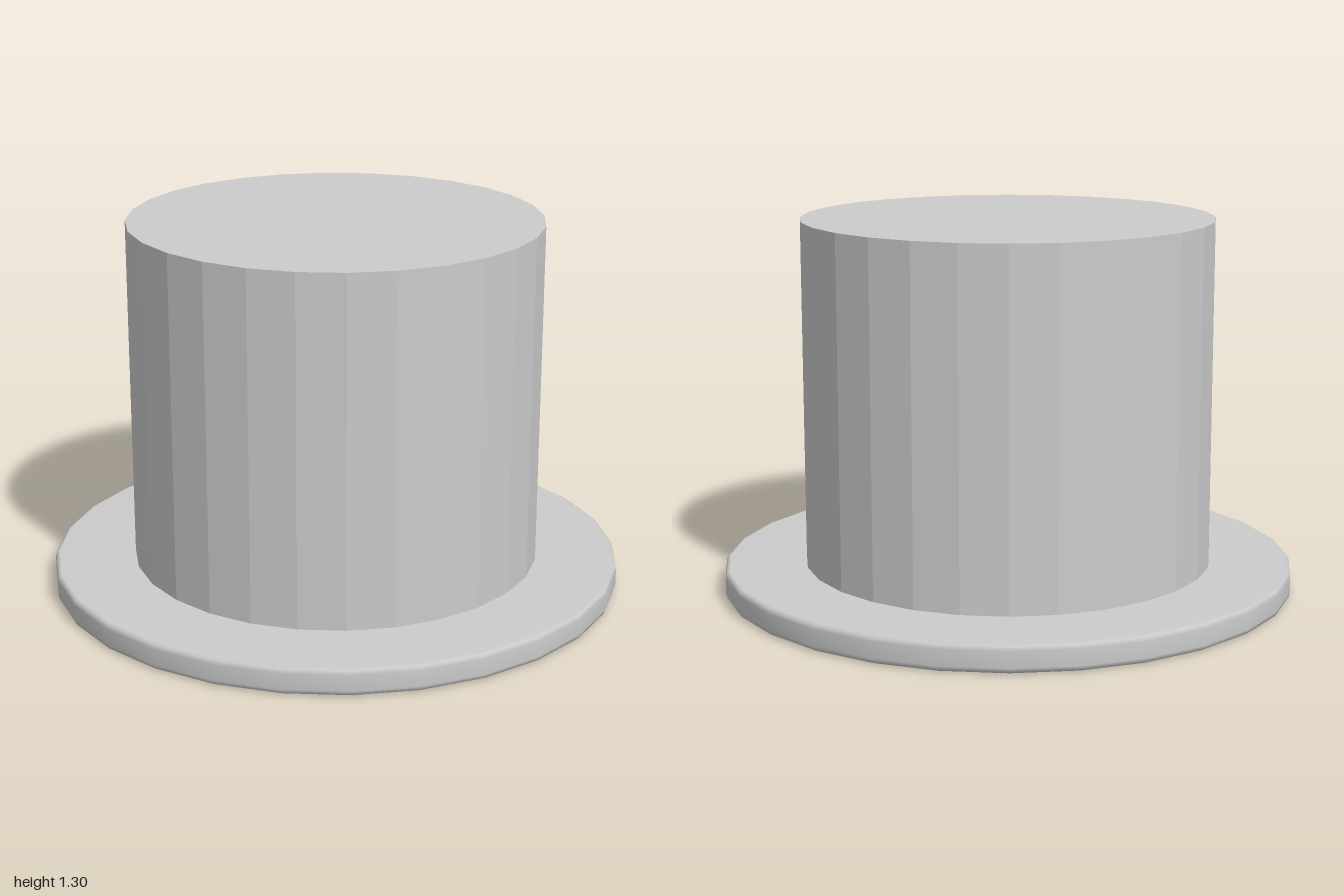
import * as THREE from 'three';

const SIDES = 28;

// Revolve an [r, y] profile; outer faces are listed bottom to top
function lathe(name, profile, flat) {
  const geometry = new THREE.LatheGeometry(profile.map(([r, y]) => new THREE.Vector2(r, y)), SIDES);
  const material = new THREE.MeshStandardMaterial({ color: 0xcccccc, flatShading: flat });
  const mesh = new THREE.Mesh(geometry, material);
  mesh.name = name;
  return mesh;
}

export function createModel() {
  const hat = new THREE.Group();
  hat.name = 'topHat';

  const crownR = 0.715, innerR = 0.637, height = 1.3, brimH = 0.095;

  // Faceted crown: outer wall and flat top
  hat.add(lathe('crown', [[crownR, 0.05], [crownR, height], [0, height]], true));

  // Hollow inside: ceiling, then wall down to the opening
  hat.add(lathe('crownLining', [[0, height - 0.08], [innerR, height - 0.08], [innerR, 0]], true));

  // Brim: smooth softened rim and top, with a flat underside
  hat.add(lathe('brim', [
    [0.985, 0], [0.996, 0.006], [1, 0.02], [1, brimH - 0.02], [0.996, brimH - 0.006], [0.985, brimH], [innerR + 0.03, brimH],
  ], false));
  hat.add(lathe('brimUnderside', [[innerR, 0], [0.985, 0]], true));

  return hat;
}
